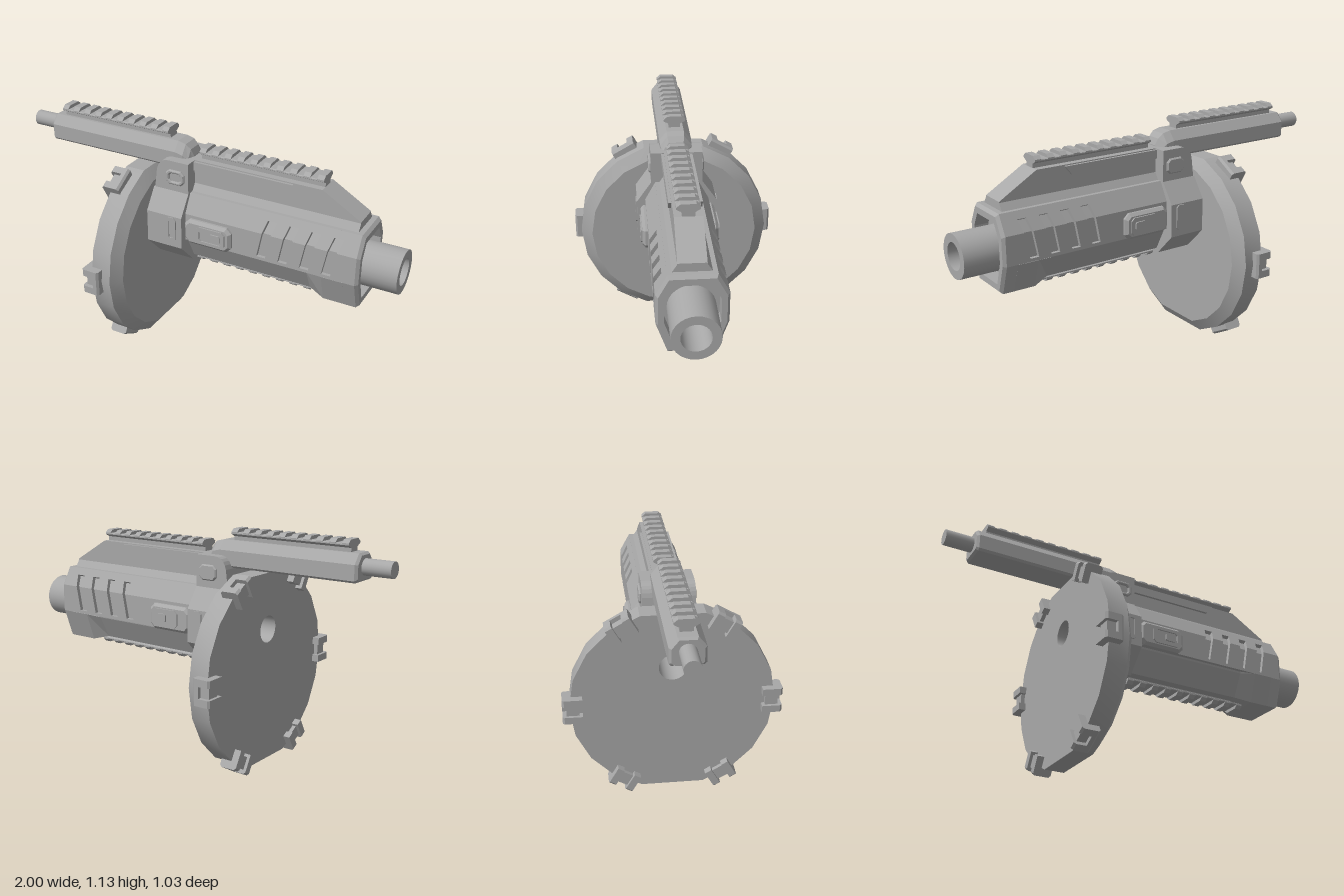
import * as THREE from 'three';
import { mergeGeometries, toCreasedNormals } from 'three/addons/utils/BufferGeometryUtils.js';

const AXIS_Y = 0.672, BORE = 0.065;
const grey = new THREE.MeshStandardMaterial({ color: 0xa8a8a8 });
grey.name = 'grey metal';

const V = ([x, y]) => new THREE.Vector2(x, y);
// full symmetric outline from its right half, listed bottom to top as [width, y]
const mirror = half => [...half, ...half.map(([w, y]) => [-w, y]).reverse()];
const scaled = (half, s, cy) => half.map(([w, y]) => [w * s, cy + (y - cy) * s]);

// skin between outlines placed along x; optional flat ends, optionally bored through
function loft(sections, { caps = true, bore = false } = {}) {
  const pos = [];
  const rings = sections.map(([x, half]) => mirror(half).map(([w, y]) => [w, y, x]));
  for (let s = 0; s + 1 < rings.length; s++) {
    const a = rings[s], b = rings[s + 1], n = a.length;
    for (let i = 0; i < n; i++) {
      const j = (i + 1) % n;
      pos.push(...a[i], ...a[j], ...b[j], ...a[i], ...b[j], ...b[i]);
    }
  }
  const side = new THREE.BufferGeometry();
  side.setAttribute('position', new THREE.Float32BufferAttribute(pos, 3));
  side.computeVertexNormals();
  const parts = [side];
  if (caps) {
    [sections[0], sections[sections.length - 1]].forEach(([x, half], end) => {
      const shape = new THREE.Shape(mirror(half).map(V));
      if (bore) shape.holes.push(new THREE.Path().absarc(0, AXIS_Y, BORE + 0.002, 0, Math.PI * 2, true));
      const cap = new THREE.ShapeGeometry(shape, 12).toNonIndexed();
      cap.deleteAttribute('uv');
      if (!end) cap.rotateY(Math.PI);
      parts.push(cap.translate(0, 0, x));
    });
  }
  return mergeGeometries(parts).rotateY(Math.PI / 2);
}

// rectangle with cut corners
const rect = (x0, y0, x1, y1, c) => [[x0 + c, y0], [x1 - c, y0], [x1, y0 + c], [x1, y1 - c],
  [x1 - c, y1], [x0 + c, y1], [x0, y1 - c], [x0, y0 + c]];

export function createModel() {
  const model = new THREE.Group();
  const add = (name, geo, parent = model) => {
    const mesh = new THREE.Mesh(geo, grey);
    mesh.name = name;
    parent.add(mesh);
    return mesh;
  };

  // the same plate on both flanks; its outer face lies at z
  function flankPlates(name, pts, z, depth, { hole, bevel = 0, tilt = 0, y = 0 } = {}) {
    for (const s of [1, -1]) {
      const flip = list => list.map(([px, py]) => new THREE.Vector2(px * s, py));
      const shape = new THREE.Shape(flip(pts));
      if (hole) shape.holes.push(new THREE.Path(flip(hole)));
      const geo = new THREE.ExtrudeGeometry(shape, { depth: depth - bevel, bevelEnabled: bevel > 0,
        bevelSize: bevel, bevelThickness: bevel, bevelOffset: -bevel, bevelSegments: 1 });
      geo.translate(0, 0, -depth).rotateX(-tilt).translate(0, y, z);
      if (s < 0) geo.rotateY(Math.PI);
      add(name, geo);
    }
  }

  // drum disc: twenty-sided, flat at top and bottom, chamfered toward the muzzle
  const DISC_Y = 0.483;
  const discHalf = r => Array.from({ length: 9 }, (_, i) => {
    const a = (i - 4) * Math.PI / 10;
    return [r * Math.cos(a), DISC_Y + r * Math.sin(a)];
  });
  add('drumDisc', toCreasedNormals(loft([[-0.37, discHalf(0.483)], [-0.27, discHalf(0.483)],
    [-0.23, discHalf(0.427)]], { bore: true }), 0.4));

  // six clips around the rim
  const hook = [[-0.405, 0.42], [-0.37, 0.42], [-0.37, 0.46], [-0.315, 0.46],
    [-0.315, 0.505], [-0.325, 0.515], [-0.395, 0.515], [-0.405, 0.505]];
  const inner = [[-0.39, 0.435], [-0.37, 0.435], [-0.37, 0.46], [-0.33, 0.46], [-0.33, 0.495], [-0.39, 0.495]];
  const strip = (pts, w, at) => new THREE.ExtrudeGeometry(new THREE.Shape(pts.map(V)),
    { depth: w, bevelEnabled: false }).translate(0, 0, at - w / 2).rotateX(Math.PI / 2);
  const lip = [[-0.345, 0.46], [-0.315, 0.46], [-0.315, 0.505], [-0.325, 0.515], [-0.345, 0.515]];
  for (let k = 0; k < 6; k++) {
    const clip = new THREE.Group();
    clip.name = 'rimClip';
    clip.position.y = DISC_Y;
    clip.rotation.x = k * Math.PI / 3;
    for (const s of [-1, 1]) add('clipEnd', strip(hook, 0.035, s * 0.045), clip);
    add('clipMiddle', strip(inner, 0.06, 0), clip);
    add('clipLip', strip(lip, 0.06, 0), clip);
    model.add(clip);
  }

  // barrel tube, open right through
  const tube = [[BORE, -0.368], [0.105, -0.368], [0.105, 1], [BORE, 1], [BORE, -0.368]].map(V);
  add('barrel', toCreasedNormals(new THREE.LatheGeometry(tube, 28)
    .rotateZ(-Math.PI / 2).translate(0, AXIS_Y, 0), 0.5));

  // receiver and the round-cornered block above it
  const receiver = [[0.087, 0.487], [0.195, 0.597], [0.195, 0.76], [0.125, 0.86]];
  add('receiver', loft([[-0.23, receiver], [-0.04, receiver]], { bore: true }));
  const block = new THREE.Shape();
  block.moveTo(-0.225, 0.85);
  block.lineTo(-0.04, 0.85);
  block.lineTo(-0.04, 1.013);
  block.lineTo(-0.15, 1.013);
  block.quadraticCurveTo(-0.21, 1.01, -0.215, 0.93);
  add('receiverBlock', new THREE.ExtrudeGeometry(block, { depth: 0.25, bevelEnabled: false, curveSegments: 6 })
    .translate(0, 0, -0.125));
  flankPlates('blockButton', rect(-0.16, 0.895, -0.06, 0.97, 0.018), 0.135, 0.02,
    { hole: rect(-0.14, 0.912, -0.08, 0.953, 0.01), bevel: 0.006 });
  flankPlates('receiverFrame', rect(-0.122, 0.628, -0.07, 0.755, 0.012), 0.201, 0.015,
    { hole: rect(-0.108, 0.645, -0.084, 0.738, 0.005) });

  // body core, hollowed along the lower edges behind a ramp
  const flank = [[0.137, 0.63], [0.137, 0.765], [0.092, 0.842], [0.105, 0.861]];
  const full = [[0.105, 0.487], [0.155, 0.629], ...flank];
  const slim = [[0.075, 0.507], [0.135, 0.62], ...flank];
  add('bodyCore', loft([[-0.04, slim], [0.585, slim], [0.665, full], [0.77, full]], { bore: true }));

  // flank panels with four slanted vents running over the fold
  const vents = [0, 1, 2, 3].map(i => 0.34 + 0.108 * i), W = 0.045;
  const lower = [[-0.04, 0.63], [0.77, 0.63], [0.77, 0.77]];
  for (const x of [...vents].reverse())
    lower.push([x + 0.024 + W, 0.77], [x + W, 0.645], [x, 0.645], [x + 0.024, 0.77]);
  lower.push([-0.04, 0.77]);
  const upper = [[-0.04, 0]];
  for (const x of vents)
    upper.push([x + 0.024, 0], [x + 0.04, 0.065], [x + 0.04 + W, 0.065], [x + 0.024 + W, 0]);
  upper.push([0.77, 0], [0.77, 0.104], [-0.04, 0.104]);
  flankPlates('sidePanel', lower, 0.155, 0.02);
  flankPlates('shoulderPanel', upper, 0.155, 0.02, { tilt: Math.atan2(0.05, 0.091), y: 0.77 });

  // hollow eight-sided muzzle shroud
  const oct = [[0.105, 0.487], [0.155, 0.63], [0.155, 0.77], [0.105, 0.861]];
  const lipIn = scaled(oct, 0.77, 0.674);
  add('muzzleShroud', loft([[0.77, oct], [0.825, oct], [0.84, scaled(oct, 0.93, 0.674)],
    [0.84, lipIn], [0.77, lipIn]], { caps: false }));

  // raised control housing on each flank
  flankPlates('controlHousing', rect(-0.035, 0.628, 0.213, 0.755, 0.025), 0.18, 0.03, { bevel: 0.014 });
  flankPlates('controlFrame', rect(0.035, 0.648, 0.185, 0.735, 0.015), 0.187, 0.012,
    { hole: rect(0.05, 0.662, 0.17, 0.721, 0.01) });
  flankPlates('controlButton', rect(0.105, 0.672, 0.16, 0.711, 0.006), 0.187, 0.012);

  // top ridge with sloping nose
  const ridge = [[-0.04, 0.86], [0.8, 0.86], [0.8, 0.9], [0.61, 1.013], [-0.04, 1.013]];
  add('topRidge', new THREE.ExtrudeGeometry(new THREE.Shape(ridge.map(V)), { depth: 0.124, bevelEnabled: false })
    .translate(0, 0, -0.062));
  const foot = [[0.085, 0.86], [0.062, 0.895]];
  add('ridgeFoot', loft([[-0.04, foot], [0.8, foot]]));
  flankPlates('ridgeStrip', [[-0.04, 0.965], [0.435, 0.965], [0.47, 1.008], [-0.04, 1.008]], 0.075, 0.02);

  // rear stock bar with rounded front end and rod
  const bar = [[0.068, 0.957], [0.078, 0.967], [0.078, 1.038], [0.042, 1.083]];
  const barEnd = (w, top) => [[0.068 * w, 0.957], [0.078 * w, 0.967], [0.078 * w, top - 0.045], [0.042 * w, top]];
  add('stockBar', loft([[-0.862, scaled(bar, 0.86, 1.02)], [-0.85, bar], [-0.14, bar],
    [-0.1, barEnd(0.97, 1.073)], [-0.075, barEnd(0.85, 1.05)], [-0.062, barEnd(0.65, 1.017)]]));
  add('stockRod', new THREE.CylinderGeometry(0.038, 0.038, 0.16, 20)
    .rotateZ(Math.PI / 2).translate(-0.92, 1.021, 0));

  // toothed rails
  const base = [[0.028, 0], [0.028, 0.02], [0.052, 0.033], [0.052, 0.038], [0.047, 0.041]];
  const tooth = [[0.052, 0.033], [0.052, 0.042], [0.034, 0.057]];
  function rail(name, x0, x1, y, down = false) {
    const group = new THREE.Group();
    group.name = name;
    group.position.y = y;
    if (down) group.rotation.x = Math.PI;
    add('railBase', loft([[x0, base], [x1, base]]), group);
    const w = 0.033, step = (x1 - x0 - w) / 9;
    for (let i = 0; i < 10; i++)
      add('railTooth', loft([[x0 + i * step, tooth], [x0 + i * step + w, tooth]]), group);
    model.add(group);
  }
  rail('frontTopRail', -0.02, 0.61, 1.013);
  rail('stockRail', -0.805, -0.19, 1.081);
  rail('bottomRail', -0.035, 0.645, 0.522, true);

  return model;
}
